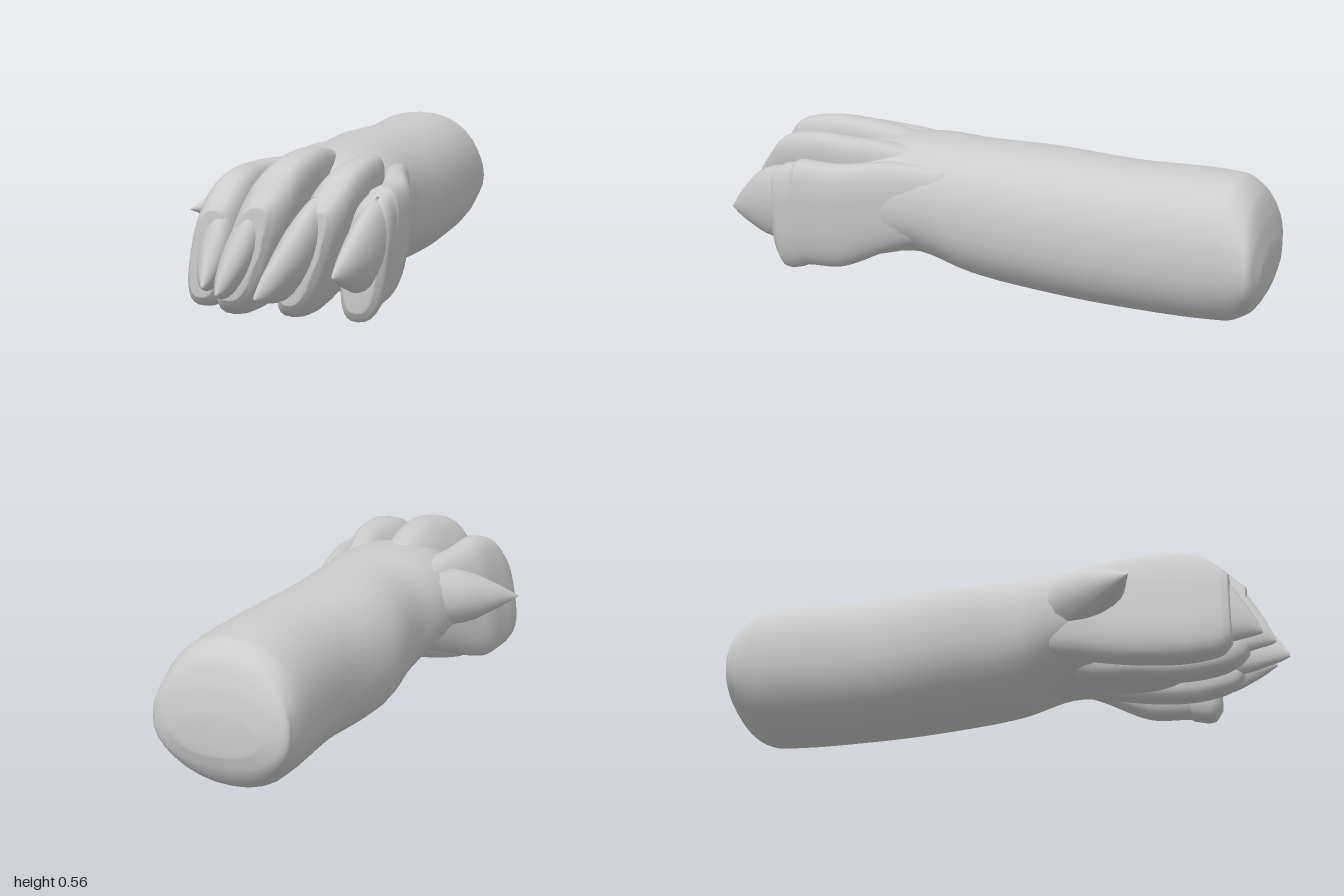
import * as THREE from 'three';

const mat = new THREE.MeshStandardMaterial({ color: 0xcccccc, side: THREE.DoubleSide });

// Smooth closed loft along z. Each section: [z, centreX, centreY, halfWidth, halfHeight, lean]
// lean shifts x by lean * (y - centreY); power > 2 makes the outline boxier.
function loft(name, sections, { power = 2.2, sides = 32, steps = 5 } = {}) {
  const pos = [], idx = [];
  const rows = (sections.length - 1) * steps;
  // cubic interpolation of one section value
  const value = (k, c, t) => {
    const at = i => sections[Math.min(Math.max(i, 0), sections.length - 1)][c];
    const a = at(k - 1), b = at(k), d = at(k + 1), e = at(k + 2);
    const zAt = i => sections[Math.min(Math.max(i, 0), sections.length - 1)][0];
    const h = zAt(k + 1) - zAt(k);
    const m0 = k > 0 ? (d - a) / (zAt(k + 1) - zAt(k - 1)) * h : d - b;
    const m1 = k + 2 < sections.length ? (e - b) / (zAt(k + 2) - zAt(k)) * h : d - b;
    const t2 = t * t, t3 = t2 * t;
    return (2 * t3 - 3 * t2 + 1) * b + (t3 - 2 * t2 + t) * m0 + (3 * t2 - 2 * t3) * d + (t3 - t2) * m1;
  };
  for (let r = 0; r <= rows; r++) {
    const k = Math.min(Math.floor(r / steps), sections.length - 2), t = r / steps - k;
    const z = sections[k][0] * (1 - t) + sections[k + 1][0] * t;
    const [cx, cy, w, h, lean] = [1, 2, 3, 4, 5].map(c => value(k, c, t));
    for (let j = 0; j < sides; j++) {
      const a = j / sides * Math.PI * 2, c = Math.cos(a), s = Math.sin(a);
      const y = Math.max(h, 0.001) * Math.sign(s) * Math.abs(s) ** (2 / power);
      const x = Math.max(w, 0.001) * Math.sign(c) * Math.abs(c) ** (2 / power);
      pos.push(cx + x + lean * y, cy + y, z);
    }
  }
  for (let r = 0; r < rows; r++) {
    for (let j = 0; j < sides; j++) {
      const a = r * sides + j, b = r * sides + (j + 1) % sides;
      idx.push(a, b, a + sides, b, b + sides, a + sides);
    }
  }
  // end caps
  const last = rows * sides;
  for (let j = 1; j < sides - 1; j++) idx.push(0, j + 1, j, last, last + j, last + j + 1);
  const g = new THREE.BufferGeometry();
  g.setAttribute('position', new THREE.Float32BufferAttribute(pos, 3));
  g.setIndex(idx);
  g.computeVertexNormals();
  const mesh = new THREE.Mesh(g, mat);
  mesh.name = name;
  return mesh;
}

// Toe sizes; front is where the toe ends, blunt is how square that end is,
// claw is [base z, x, y, half width, half height]
const toes = [
  { name: 'innerToe', x: -0.18, y: 0.28, w: 0.085, h: 0.22, lean: 0.17, root: -0.09, front: 0.82, blunt: 0.8,
    claw: [0.74, -0.17, 0.28, 0.06, 0.15], tip: [-0.17, 0.17, 0.92] },
  { name: 'secondToe', x: -0.03, y: 0.3, w: 0.1, h: 0.26, lean: 0.33, root: 0.02, front: 0.87, blunt: 0.72,
    claw: [0.79, -0.065, 0.29, 0.062, 0.17], tip: [-0.11, 0.16, 0.96] },
  { name: 'thirdToe', x: 0.155, y: 0.29, w: 0.088, h: 0.25, lean: 0.33, root: 0.14, front: 0.84, blunt: 0.75,
    claw: [0.77, 0.115, 0.29, 0.066, 0.17], tip: [0.03, 0.165, 1.0] },
  { name: 'outerToe', x: 0.3, y: 0.26, w: 0.072, h: 0.2, lean: 0.12, root: 0.22, front: 0.745, blunt: 1,
    claw: [0.69, 0.308, 0.29, 0.06, 0.15], tip: [0.26, 0.235, 0.95] },
];

function makeToe({ name, x, y, w, h, lean, root, front, blunt, claw, tip }) {
  const g = new THREE.Group();
  g.name = name;
  const mid = (root + x) / 2, slide = lean * 0.08;
  g.add(loft(name + 'Knuckle', [
    [0.08, root, 0.33, 0.05, 0.12, lean * 0.3],
    [0.3, mid, 0.31, w * 0.9, h * 0.8, lean * 0.6],
    [0.48, x, y + 0.005, w, h * 0.96, lean],
    [0.63, x, y, w, h, lean],
    [front - 0.1, x - slide * 0.4, y - 0.01, w * (0.75 + 0.25 * blunt), h * (0.7 + 0.3 * blunt), lean],
    [front - 0.03, x - slide * 0.8, y - 0.025 * (2 - blunt), w * blunt, h * blunt * 0.97, lean],
    [front, x - slide, y - 0.025 * (2 - blunt), w * blunt * 0.72, h * blunt * 0.78, lean],
  ], { power: 2.7 }));
  const [z0, cx, cy, cw, ch] = claw, [tx, ty, tz] = tip;
  const mix = (a, b, t) => a + (b - a) * t;
  g.add(loft(name + 'Claw', [
    [z0, cx, cy, cw, ch, lean],
    [mix(z0, tz, 0.4), mix(cx, tx, 0.2), mix(cy, ty, 0.22), cw * 0.88, ch * 0.82, lean],
    [mix(z0, tz, 0.75), mix(cx, tx, 0.6), mix(cy, ty, 0.62), cw * 0.52, ch * 0.42, lean],
    [tz, tx, ty, 0.004, 0.006, 0],
  ], { power: 1.9, sides: 20, steps: 4 }));
  return g;
}

export function createModel() {
  const model = new THREE.Group();
  model.name = 'paw';

  // Foreleg and palm in one smooth skin, rounded off at the cut end
  model.add(loft('foreleg', [
    [-1.0, 0.075, 0.21, 0.15, 0.06, 0],
    [-0.98, 0.067, 0.23, 0.23, 0.14, 0],
    [-0.945, 0.065, 0.245, 0.24, 0.205, 0],
    [-0.87, 0.065, 0.252, 0.245, 0.247, 0],
    [-0.5, 0.075, 0.257, 0.237, 0.252, 0],
    [-0.2, 0.05, 0.267, 0.252, 0.252, 0],
    [0.05, 0.062, 0.288, 0.238, 0.238, 0],
    [0.22, 0.055, 0.316, 0.262, 0.212, 0],
    [0.36, 0.055, 0.306, 0.28, 0.212, 0.05],
    [0.46, 0.055, 0.29, 0.28, 0.205, 0.1],
    [0.57, 0.055, 0.275, 0.26, 0.17, 0.1],
    [0.68, 0.06, 0.27, 0.2, 0.13, 0.1],
  ]));

  // Sole pad tucked under the toes
  model.add(loft('solePad', [
    [0.2, 0.06, 0.23, 0.06, 0.07, 0],
    [0.34, 0.05, 0.2, 0.17, 0.1, 0],
    [0.5, 0.04, 0.18, 0.19, 0.11, 0],
    [0.62, 0.04, 0.19, 0.14, 0.1, 0],
    [0.68, 0.04, 0.2, 0.05, 0.05, 0],
  ]));

  toes.forEach(t => model.add(makeToe(t)));

  // Dewclaw spur flaring out of the inner side
  const base = new THREE.Vector3(-0.08, 0.35, 0.25), tip = new THREE.Vector3(-0.38, 0.325, 0.5);
  const dir = tip.clone().sub(base), len = dir.length();
  const profile = [[0.125, 0], [0.11, 0.3], [0.085, 0.55], [0.045, 0.78], [0, 1]];
  const spur = new THREE.Mesh(
    new THREE.LatheGeometry(profile.map(([r, t]) => new THREE.Vector2(r, t * len)), 16), mat);
  spur.name = 'dewclaw';
  spur.position.copy(base);
  spur.quaternion.setFromUnitVectors(new THREE.Vector3(0, 1, 0), dir.normalize());
  model.add(spur);

  return model;
}
